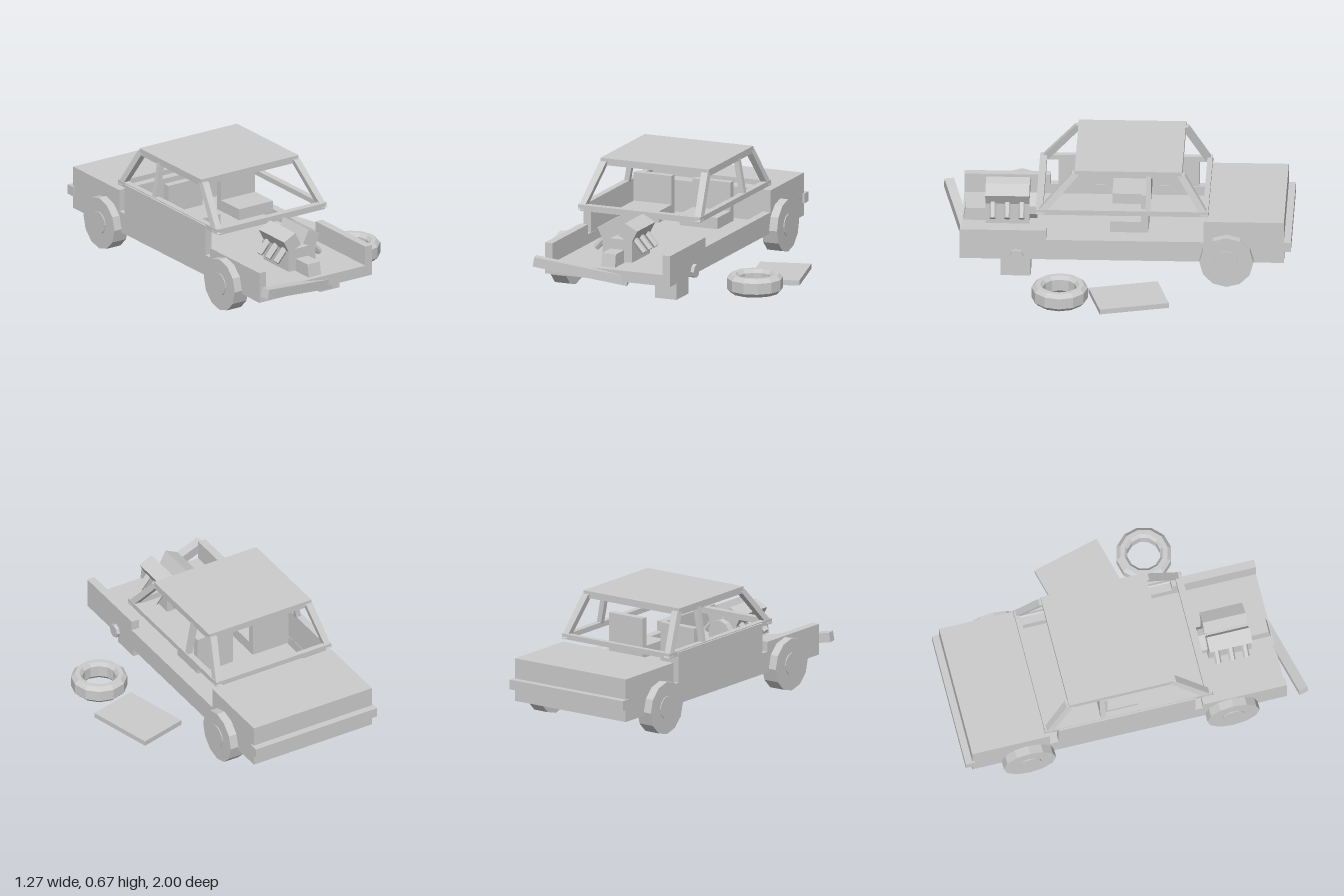
import * as THREE from 'three';

const MID = -0.195; // centre line of the car
const material = new THREE.MeshStandardMaterial({ color: 0xcccccc, flatShading: true, side: THREE.DoubleSide });

export function createModel() {
  const model = new THREE.Group();

  const add = (name, geometry, x = 0, y = 0, z = 0, parent = model) => {
    const mesh = new THREE.Mesh(geometry, material);
    mesh.name = name;
    mesh.position.set(x, y, z);
    parent.add(mesh);
    return mesh;
  };

  // Box given by its limits; x is measured from the parent's origin
  const block = (name, [x0, x1], [y0, y1], [z0, z1], parent) =>
    add(name, new THREE.BoxGeometry(x1 - x0, y1 - y0, z1 - z0),
      (x0 + x1) / 2, (y0 + y1) / 2, (z0 + z1) / 2, parent);

  // Slanted post between two level rectangles
  const post = (name, [y0, y1], low, high, parent) => {
    const geometry = new THREE.BoxGeometry(1, 1, 1);
    const p = geometry.attributes.position;
    for (let i = 0; i < p.count; i++) {
      const top = p.getY(i) > 0;
      const [xa, xb, za, zb] = top ? high : low;
      p.setXYZ(i, p.getX(i) > 0 ? xb : xa, top ? y1 : y0, p.getZ(i) > 0 ? zb : za);
    }
    geometry.computeVertexNormals();
    return add(name, geometry, 0, 0, 0, parent);
  };

  const disc = (name, radius, width, sides, x, y, z, parent) => {
    const geometry = new THREE.CylinderGeometry(radius, radius, width, sides);
    geometry.rotateZ(Math.PI / 2);
    return add(name, geometry, x, y, z, parent);
  };

  const car = new THREE.Group();
  car.name = 'car';
  car.position.x = MID;
  model.add(car);

  // Floor, boot and rear bumper
  block('floor', [-0.39, 0.39], [0.135, 0.2], [-0.96, 0.88], car);
  block('boot', [-0.39, 0.39], [0.2, 0.385], [-0.96, -0.505], car);
  block('rearBumper', [-0.4, 0.4], [0.21, 0.267], [-1, -0.945], car);

  // Body sides, pillars and rails
  for (const s of [-1, 1]) {
    const side = (a, b) => (s > 0 ? [a, b] : [-b, -a]);
    block('frontFender', side(0.343, 0.39), [0.2, 0.315], [0.39, 0.88], car);
    block('sill', side(0.343, 0.39), [0.2, 0.257], [-0.505, 0.39], car);
    block('windowRail', side(0.345, 0.38), [0.41, 0.44], [-0.53, 0.445], car);
    const low = side(0.345, 0.382);
    const high = side(0.295, 0.337);
    post('windscreenPillar', [0.415, 0.65], [...low, 0.4, 0.452], [...high, 0.2, 0.245], car);
    post('middlePillar', [0.43, 0.64], [...side(0.345, 0.375), -0.205, -0.175],
      [...side(0.305, 0.338), -0.205, -0.175], car);
    post('rearPillar', [0.415, 0.65], [...low, -0.535, -0.49], [...high, -0.395, -0.35], car);
  }
  // Only the right-hand door is still fitted
  block('door', [-0.39, -0.345], [0.255, 0.435], [-0.455, 0.345], car);
  block('windscreenRail', [-0.365, 0.365], [0.405, 0.44], [0.41, 0.45], car);
  block('rearWindowRail', [-0.365, 0.365], [0.41, 0.44], [-0.53, -0.5], car);
  block('roof', [-0.338, 0.338], [0.628, 0.668], [-0.38, 0.23], car);

  // Front seats
  for (const x of [-0.183, 0.183]) {
    block('seatCushion', [x - 0.118, x + 0.118], [0.27, 0.336], [-0.185, 0.03], car);
    block('seatBack', [x - 0.118, x + 0.118], [0.27, 0.503], [-0.188, -0.147], car);
  }

  // Wheels, with the left front one taken off to leave a bare hub
  for (const [s, z] of [[-1, 0.555], [-1, -0.635], [1, -0.635]]) {
    disc('wheel', 0.153, 0.095, 12, s * 0.392, 0.155, z, car);
    disc('wheelHub', 0.066, 0.02, 12, s * 0.435, 0.16, z, car);
  }
  disc('bareHub', 0.04, 0.08, 8, 0.37, 0.158, 0.558, car);

  // Engine with two tilted banks and exhaust stubs
  const engine = new THREE.Group();
  engine.name = 'engine';
  car.add(engine);
  block('engineBlock', [-0.092, 0.092], [0.215, 0.345], [0.495, 0.745], engine);
  for (const s of [-1, 1]) {
    const head = add('cylinderHead', new THREE.BoxGeometry(0.088, 0.085, 0.25), s * 0.066, 0.383, 0.62, engine);
    head.rotation.z = s * 0.47;
    head.rotation.z *= -1;
    for (const z of [0.538, 0.62, 0.702]) {
      const stub = add('exhaustStub', new THREE.CylinderGeometry(0.019, 0.019, 0.095, 6), s * 0.118, 0.308, z, engine);
      stub.rotation.z = s * 0.72;
    }
  }
  const bell = add('bellHousing', new THREE.CylinderGeometry(0.076, 0.076, 0.06, 10), 0, 0.29, 0.483, engine);
  bell.rotation.x = Math.PI / 2;
  post('frontCover', [0.21, 0.285], [-0.043, 0.043, 0.74, 0.872], [-0.043, 0.043, 0.74, 0.86], engine);

  // Front bumper hanging loose on one side
  const bumper = add('looseBumper', new THREE.BoxGeometry(0.55, 0.055, 0.055), -0.345, 0.182, 0.908);
  bumper.rotation.set(0, 0.23, -0.16);

  // Block propping up the bare corner
  block('propBlock', [-0.003, 0.13], [0, 0.12], [0.48, 0.65]);

  // Removed tyre lying on the ground
  const profile = [[0.095, 0.02], [0.112, 0], [0.138, 0], [0.16, 0.022], [0.16, 0.085],
    [0.138, 0.107], [0.112, 0.107], [0.095, 0.087], [0.095, 0.02]];
  add('looseTyre', new THREE.LatheGeometry(profile.map(([r, y]) => new THREE.Vector2(r, y)), 12), 0.462, 0.003, 0.303);

  // Removed door panel lying on the ground
  const panel = add('loosePanel', new THREE.BoxGeometry(0.294, 0.03, 0.402), 0.44, 0.018, -0.088);
  panel.rotation.y = 0.255;

  return model;
}
